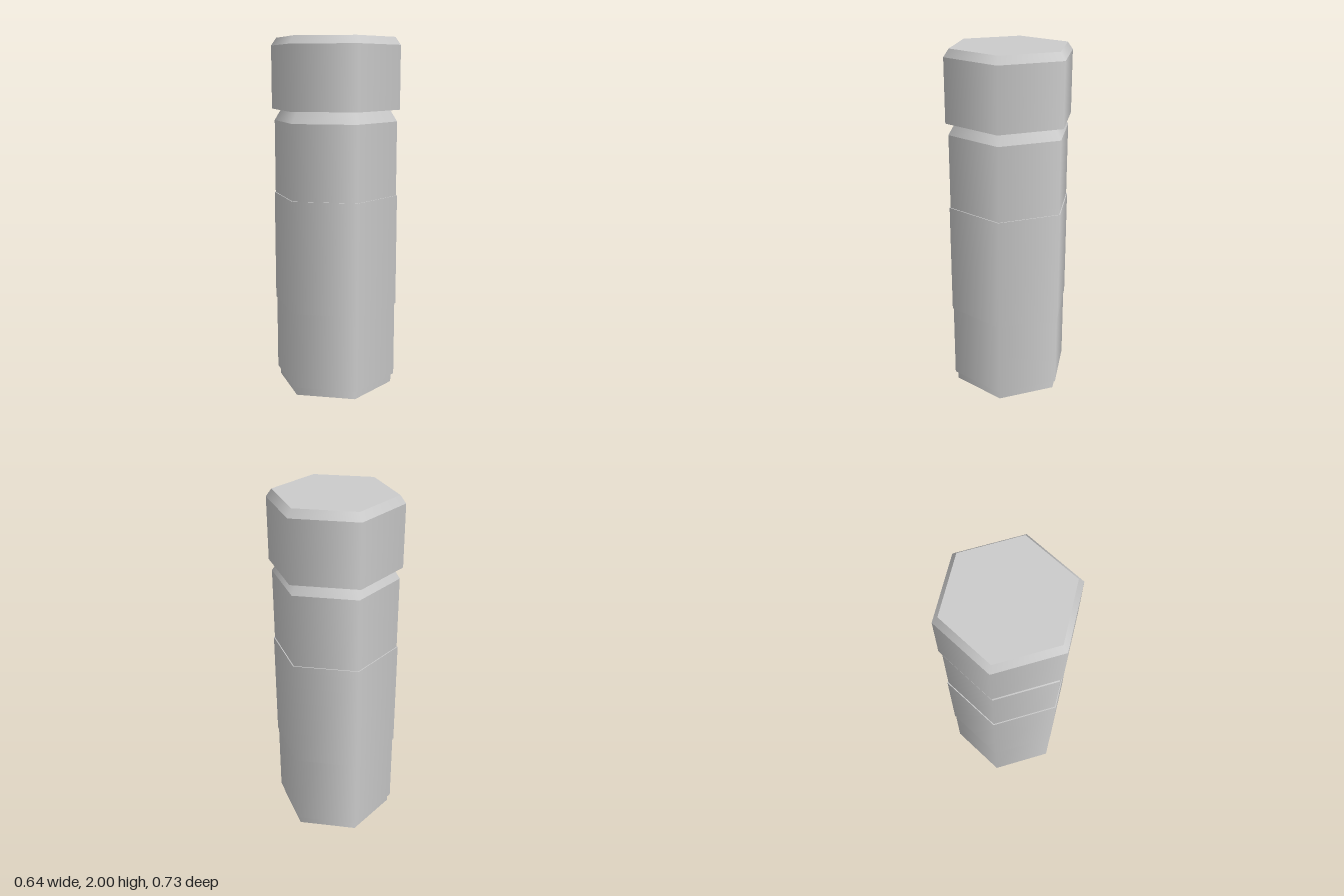
import * as THREE from 'three';

export function createModel() {
  const group = new THREE.Group();
  group.name = 'hexagonalBottle';
  const grey = new THREE.MeshStandardMaterial({ color: 0xcccccc });
  grey.name = 'light grey';

  // Six-sided section with softly shaded sides and its points on the z axis
  function section(name, y0, y1, bottomRadius, topRadius) {
    const geometry = new THREE.CylinderGeometry(topRadius, bottomRadius, y1 - y0, 6);
    const mesh = new THREE.Mesh(geometry, grey);
    mesh.name = name;
    mesh.position.y = (y0 + y1) / 2;
    group.add(mesh);
  }

  // Recessed foot, body and sloping shoulder
  section('foot', 0, 0.05, 0.335, 0.335);
  section('body', 0.05, 1.54, 0.352, 0.352);
  section('shoulder', 1.54, 1.605, 0.352, 0.312);

  // Slightly raised band around the body
  section('band', 0.487, 1.122, 0.358, 0.358);

  // Cap with a bevelled top
  section('cap', 1.605, 1.957, 0.367, 0.367);
  section('capBevel', 1.957, 2, 0.367, 0.336);

  return group;
}
